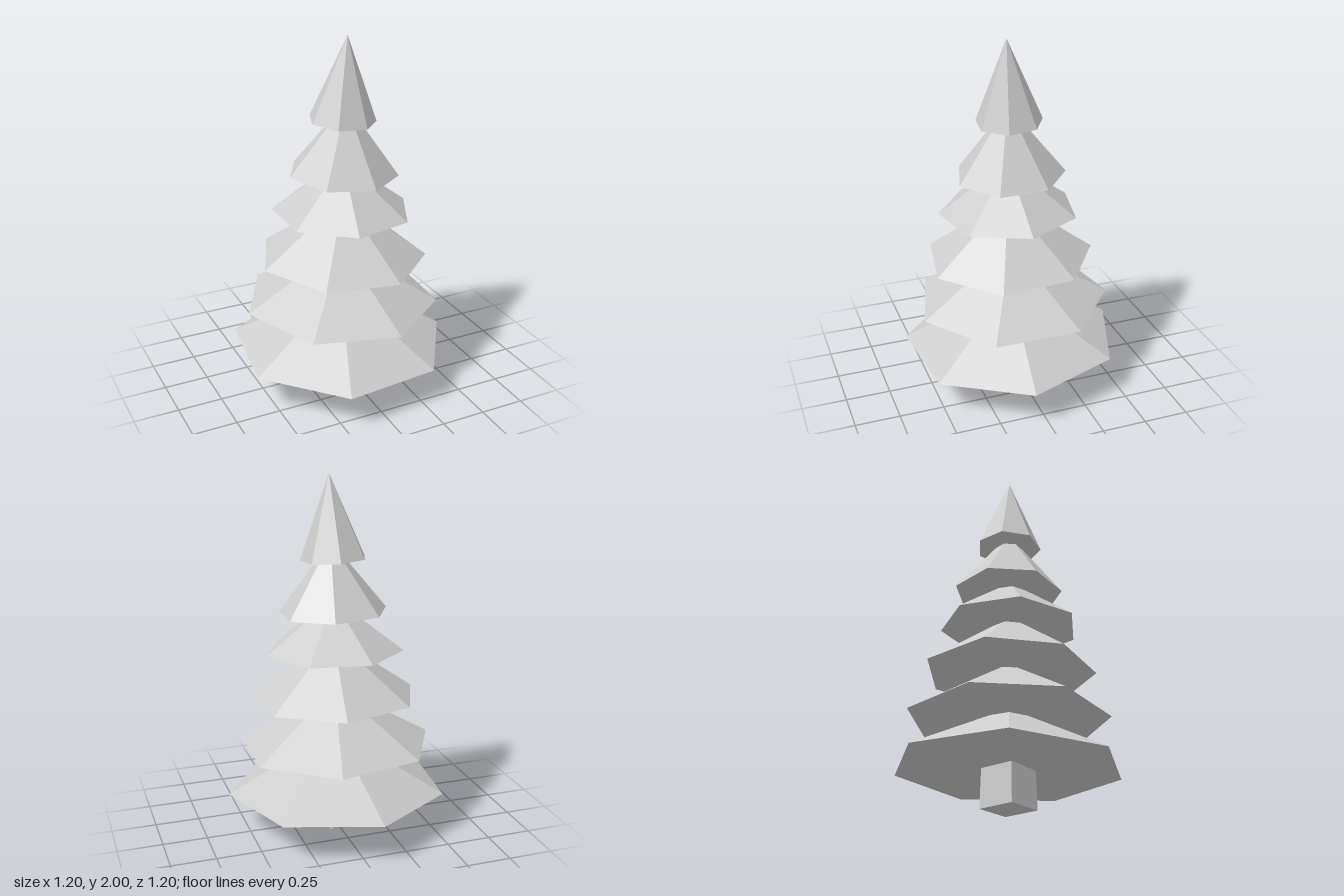
import * as THREE from 'three';

const grey = new THREE.MeshStandardMaterial({ color: 0xcccccc, flatShading: true });
grey.name = 'lightGrey';

const UP = new THREE.Vector3(0, 1, 0);
const RAD = Math.PI / 180;

// Foliage tiers, bottom to top. angle: heading of one corner from +x towards +z.
// leanX, leanZ: how far the tier's axis tips sideways per unit of height.
const TIERS = [
  { x: -0.016, y: 0.213, z: 0.006, radius: 0.62, height: 0.34, angle: 7, leanX: 0.006, leanZ: 0.025 },
  { x: -0.014, y: 0.483, z: 0.007, radius: 0.55, height: 0.33, angle: -23.8, leanX: 0.013, leanZ: 0.018 },
  { x: -0.009, y: 0.757, z: 0.02, radius: 0.472, height: 0.345, angle: 22.8, leanX: 0.015, leanZ: 0.025 },
  { x: -0.009, y: 1.03, z: 0.024, radius: 0.387, height: 0.29, angle: -0.6, leanX: 0.01, leanZ: 0.017 },
  { x: -0.002, y: 1.246, z: 0.017, radius: 0.304, height: 0.395, angle: -22.5, leanX: 0.03, leanZ: 0.04 },
  { x: -0.006, y: 1.54, z: 0.019, radius: 0.185, height: 0.46, angle: 19, leanX: 0.045, leanZ: 0.045 },
];

// Seven-sided closed cone standing on its base, tipped slightly
function makeTier(t) {
  const geometry = new THREE.ConeGeometry(t.radius, t.height, 7);
  geometry.translate(0, t.height / 2, 0);
  geometry.rotateY(Math.PI / 2 - (Math.PI / 2 + t.angle * RAD) + Math.PI / 2);
  const mesh = new THREE.Mesh(geometry, grey);
  mesh.position.set(t.x, t.y, t.z);
  mesh.quaternion.setFromUnitVectors(UP, new THREE.Vector3(t.leanX, 1, t.leanZ).normalize());
  return mesh;
}

export function createModel() {
  const tree = new THREE.Group();
  tree.name = 'pineTree';

  // Four-sided trunk, slightly tapered
  const trunkGeometry = new THREE.CylinderGeometry(0.142, 0.15, 0.24, 4);
  trunkGeometry.rotateY(Math.PI / 2 - 27 * RAD);
  const trunk = new THREE.Mesh(trunkGeometry, grey);
  trunk.name = 'trunk';
  trunk.position.set(-0.018, 0.12, 0.007);
  tree.add(trunk);

  // Foliage
  TIERS.forEach((t, i) => {
    const tier = makeTier(t);
    tier.name = 'foliageTier' + (i + 1);
    tree.add(tier);
  });

  return tree;
}
